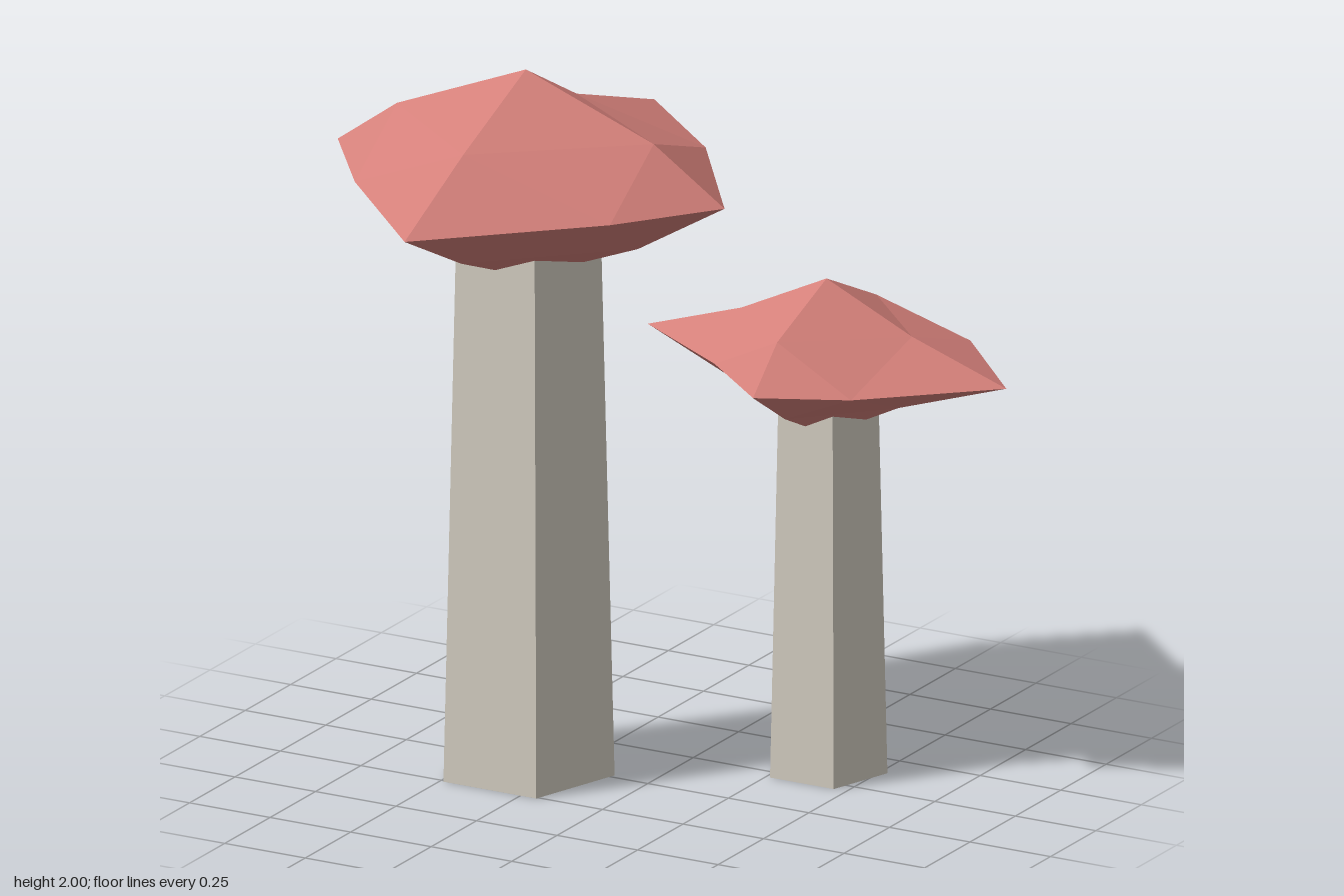
import * as THREE from 'three';

const capMaterial = new THREE.MeshStandardMaterial({ color: 0xd4807a, flatShading: true });
const stemMaterial = new THREE.MeshStandardMaterial({ color: 0xd6d0c4, flatShading: true, side: THREE.DoubleSide });

// Irregular cap: a subdivided octahedron whose corners are moved onto a rim and two shoulder rings.
// Rim: 8 [x, z] offsets from +x turning towards +z. Shoulders: 4 [distance, height] in the same turn.
function makeCap({ rim, upper, lower, top, bottom }) {
  const geometry = new THREE.OctahedronGeometry(1, 1);
  const pos = geometry.attributes.position;
  for (let i = 0; i < pos.count; i++) {
    const x = pos.getX(i), y = pos.getY(i), z = pos.getZ(i);
    const turn = (Math.round(Math.atan2(z, x) / (Math.PI / 4)) + 8) % 8;
    if (Math.abs(y) > 0.9) {
      pos.setXYZ(i, 0, y > 0 ? top : bottom, 0);
    } else if (Math.abs(y) < 0.1) {
      pos.setXYZ(i, rim[turn][0], 0, rim[turn][1]);
    } else {
      const [distance, height] = (y > 0 ? upper : lower)[turn / 2];
      pos.setXYZ(i, Math.sign(Math.round(x * 10)) * distance, height, Math.sign(Math.round(z * 10)) * distance);
    }
  }
  geometry.computeVertexNormals();
  const cap = new THREE.Mesh(geometry, capMaterial);
  cap.name = 'cap';
  return cap;
}

// Open five-sided stem with a flat side to the front, tapering up into the cap
function makeStem(topRadius, bottomRadius, height) {
  const geometry = new THREE.CylinderGeometry(topRadius, bottomRadius, height, 5, 1, true, Math.PI);
  geometry.translate(0, height / 2, 0);
  const stem = new THREE.Mesh(geometry, stemMaterial);
  stem.name = 'stem';
  return stem;
}

function makeMushroom(name, x, z, rimHeight, stem, capShape) {
  const mushroom = new THREE.Group();
  mushroom.name = name;
  const cap = makeCap(capShape);
  cap.position.y = rimHeight;
  mushroom.add(makeStem(...stem), cap);
  mushroom.position.set(x, 0, z);
  return mushroom;
}

export function createModel() {
  const model = new THREE.Group();
  model.name = 'mushrooms';

  model.add(makeMushroom('largeMushroom', -0.345, 0.06, 1.705, [0.205, 0.245, 1.65], {
    rim: [[0.617, 0], [0.415, 0.273], [0, 0.668], [-0.366, 0.293],
      [-0.584, 0], [-0.342, -0.393], [0, -0.708], [0.32, -0.423]],
    upper: [[0.397, 0.148], [0.345, 0.153], [0.4, 0.133], [0.28, 0.143]],
    lower: [[0.348, -0.16], [0.355, -0.155], [0.292, -0.176], [0.212, -0.2]],
    top: 0.295,
    bottom: -0.295,
  }));

  model.add(makeMushroom('smallMushroom', 0.362, -0.342, 1.18, [0.142, 0.168, 1.14], {
    rim: [[0.558, 0], [0.24, 0.292], [0, 0.405], [-0.232, 0.205],
      [-0.555, 0], [-0.22, -0.238], [0, -0.39], [0.275, -0.305]],
    upper: [[0.265, 0.1], [0.272, 0.12], [0.264, 0.095], [0.274, 0.095]],
    lower: [[0.223, -0.111], [0.23, -0.112], [0.165, -0.165], [0.311, -0.111]],
    top: 0.222,
    bottom: -0.222,
  }));

  return model;
}
